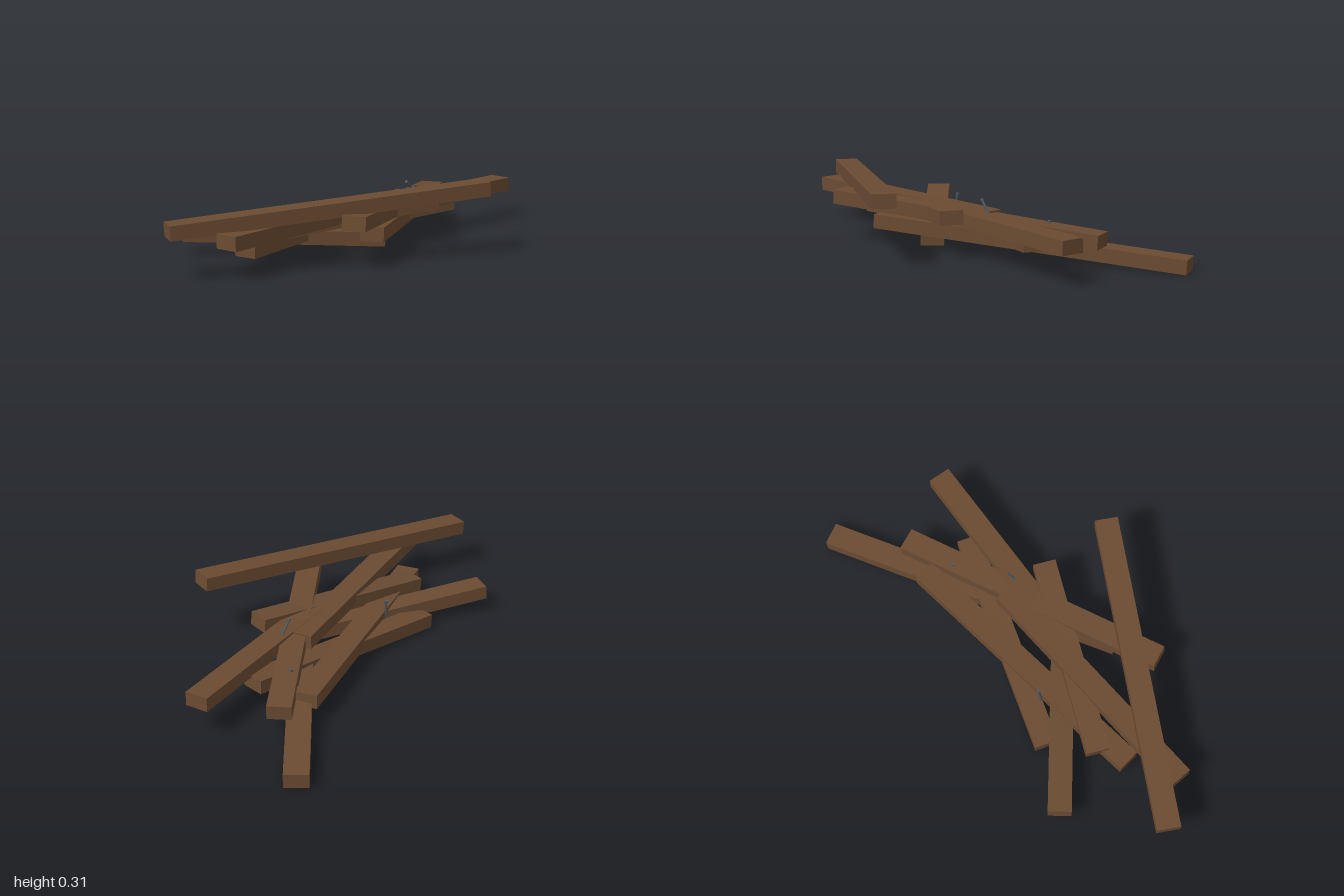
import * as THREE from 'three';

const wood = new THREE.MeshStandardMaterial({ color: 0x6b4b32 });
wood.name = 'brown wood';
const iron = new THREE.MeshStandardMaterial({ color: 0x4c575c });
iron.name = 'dark iron';

// Squared timber whose axis runs between two end centres, kept level across its width
function plank(name, a, b, width = 0.1, height = 0.06) {
  const start = new THREE.Vector3(...a), end = new THREE.Vector3(...b);
  const along = end.clone().sub(start);
  const mesh = new THREE.Mesh(new THREE.BoxGeometry(along.length(), height, width), wood);
  along.normalize();
  const across = along.clone().cross(new THREE.Vector3(0, 1, 0)).normalize();
  const up = across.clone().cross(along);
  mesh.quaternion.setFromRotationMatrix(new THREE.Matrix4().makeBasis(along, up, across));
  mesh.position.copy(start).add(end).multiplyScalar(0.5);
  mesh.name = name;
  return mesh;
}

// Thin six-sided nail between two points, with a flat head at the second
function nail(name, a, b) {
  const start = new THREE.Vector3(...a), end = new THREE.Vector3(...b);
  const dir = end.clone().sub(start);
  const length = dir.length();
  const group = new THREE.Group();
  const shaft = new THREE.Mesh(new THREE.CylinderGeometry(0.006, 0.005, length, 6), iron);
  shaft.name = 'nailShaft';
  const head = new THREE.Mesh(new THREE.CylinderGeometry(0.008, 0.008, 0.008, 6), iron);
  head.name = 'nailHead';
  head.position.y = length / 2 - 0.004;
  group.add(shaft, head);
  group.quaternion.setFromUnitVectors(new THREE.Vector3(0, 1, 0), dir.normalize());
  group.position.copy(start).add(end).multiplyScalar(0.5);
  group.name = name;
  return group;
}

export function createModel() {
  const model = new THREE.Group();
  model.name = 'woodPile';

  // Loose planks, listed as end centre to end centre
  const planks = [
    ['topPlank', [-0.98, 0.2, -0.04], [0.27, 0.284, 0.49]],
    ['levelLongPlank', [-0.825, 0.159, 0.13], [0.27, 0.159, -0.028]],
    ['levelShortPlank', [0.03, 0.16, 0.067], [0.893, 0.16, 0.025]],
    ['crossingPlank', [-0.35, 0.197, 0.347], [0.727, 0.12, -0.25]],
    ['risingPlank', [-0.53, 0.107, -0.083], [0.283, 0.185, 0.18]],
    ['middlePlank', [-0.63, 0.078, 0.008], [0.565, 0.1, -0.26]],
    ['lowBackPlank', [-0.37, 0.041, -0.235], [0.588, 0.108, -0.019]],
    ['lowLeftPlank', [-0.66, 0.098, -0.36], [0.04, 0.047, 0.12]],
    ['lowRightPlank', [-0.165, 0.112, 0.26], [0.966, 0.035, -0.502]],
  ];
  for (const [name, a, b] of planks) model.add(plank(name, a, b));

  // Nails left in the timber
  model.add(nail('bentNail', [0.335, 0.18, 0.025], [0.272, 0.245, 0.025]));
  model.add(nail('backNail', [-0.2, 0.09, -0.15], [-0.185, 0.18, -0.155]));
  model.add(nail('sideNail', [0.505, 0.085, -0.148], [0.505, 0.176, -0.15]));
  return model;
}
